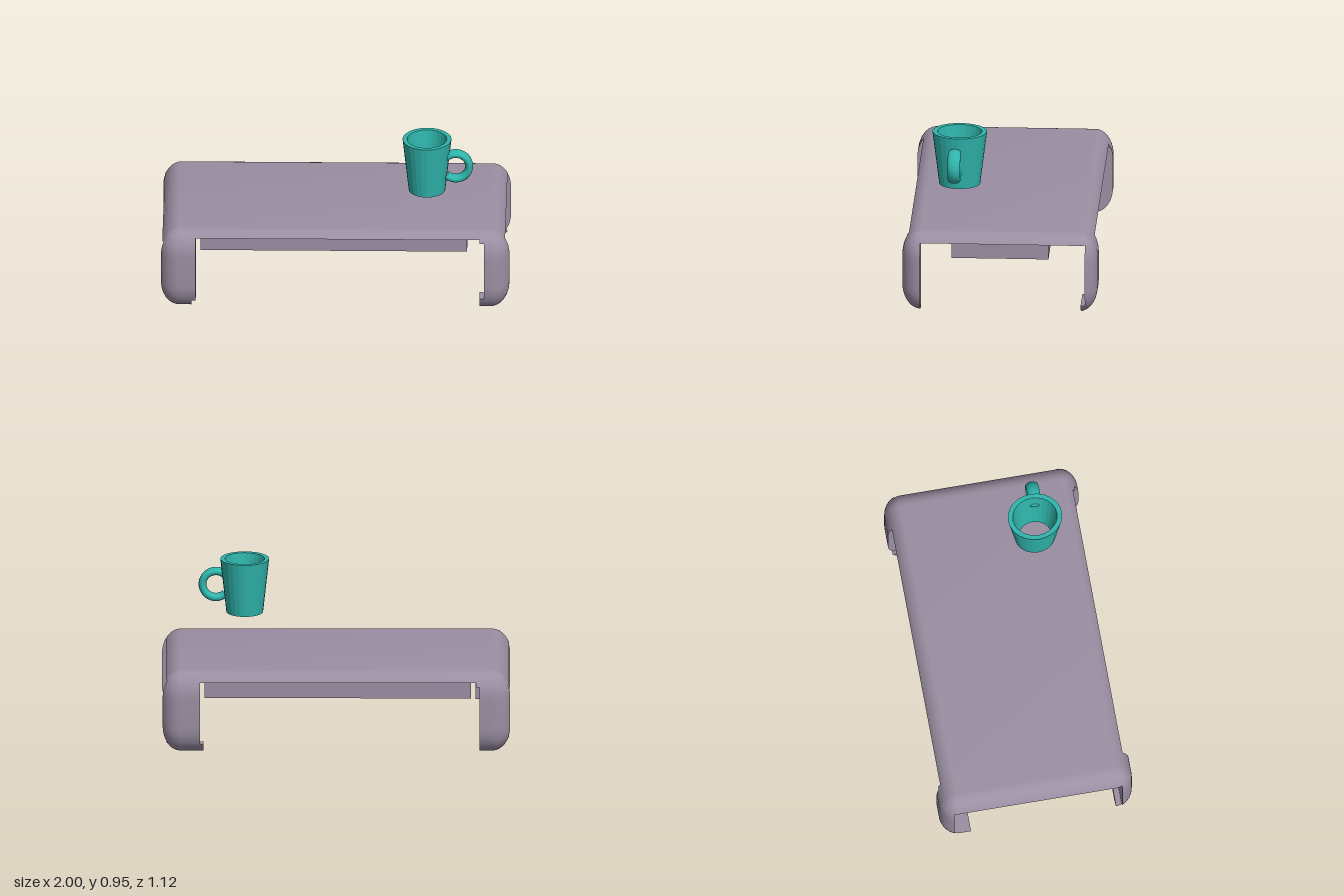
import * as THREE from 'three';
import { toCreasedNormals } from 'three/addons/utils/BufferGeometryUtils.js';

// Overall rounded block: core half sizes, corner radii, height
const CX = 0.89, CZ = 0.455, RX = 0.11, RZ = 0.105, RY = 0.15, H = 0.475, N = 10;
const { clamp } = THREE.MathUtils;

// The part of the rounded block that lies inside a given box, lofted from level sections
function roundedPiece(x0, x1, y0, y1, z0, z1) {
  const ys = [], verts = [];
  for (let i = 0; i <= N; i++) ys.push(RY * (1 - Math.cos((i / N) * Math.PI / 2)));
  for (let i = N; i >= 0; i--) ys.push(H - ys[i]);
  ys[0] = 0;

  const rings = ys.map((raw) => {
    const y = clamp(raw, y0, y1);
    const t = Math.max(RY - y, y - (H - RY), 0) / RY;
    const k = Math.sqrt(Math.max(0, 1 - t * t));
    const right = [], left = [];
    for (let i = -N; i <= N + 1; i++) {
      const a = (i <= 0 ? i : i - 1) / N * Math.PI / 2;
      const side = i <= 0 ? -1 : 1;
      const z = clamp(side * CZ + RZ * k * Math.sin(a), z0, z1);
      const s = k > 0.001 ? Math.max(0, Math.abs(z) - CZ) / (RZ * k) : 0;
      const x = CX + RX * k * Math.sqrt(Math.max(0, 1 - s * s));
      right.push(new THREE.Vector3(clamp(x, x0, x1), y, z));
      left.push(new THREE.Vector3(clamp(-x, x0, x1), y, z));
    }
    return { right, left, loop: [...right, ...left.slice().reverse()] };
  });

  const u = new THREE.Vector3(), v = new THREE.Vector3();
  const tri = (a, b, c) => {
    if (u.subVectors(b, a).cross(v.subVectors(c, a)).length() < 1e-9) return;
    for (const p of [a, b, c]) verts.push(p.x, p.y, p.z);
  };
  // Sides
  for (let j = 0; j < rings.length - 1; j++) {
    const p = rings[j].loop, q = rings[j + 1].loop;
    for (let i = 0; i < p.length; i++) {
      const n = (i + 1) % p.length;
      tri(p[i], q[i], p[n]);
      tri(q[i], q[n], p[n]);
    }
  }
  // Top and bottom caps
  const top = rings[rings.length - 1], low = rings[0];
  for (let i = 0; i < top.right.length - 1; i++) {
    tri(top.left[i], top.left[i + 1], top.right[i]);
    tri(top.right[i], top.left[i + 1], top.right[i + 1]);
    tri(low.left[i], low.right[i], low.left[i + 1]);
    tri(low.right[i], low.right[i + 1], low.left[i + 1]);
  }
  const g = new THREE.BufferGeometry();
  g.setAttribute('position', new THREE.Float32BufferAttribute(verts, 3));
  return toCreasedNormals(g, 0.5);
}

export function createModel() {
  const model = new THREE.Group();
  const wood = new THREE.MeshStandardMaterial({ color: 0x9b8fa3 });
  const teal = new THREE.MeshStandardMaterial({ color: 0x2fb5ac, flatShading: true });
  const smoothTeal = new THREE.MeshStandardMaterial({ color: 0x2fb5ac });
  const add = (parent, name, geometry, material) => {
    const mesh = new THREE.Mesh(geometry, material);
    mesh.name = name;
    parent.add(mesh);
    return mesh;
  };

  // Table: name, x0, x1, y0, y1, z0, z1
  const table = new THREE.Group();
  table.name = 'table';
  model.add(table);
  const pieces = [
    // Top with its stepped underside
    ['tableTop', -1, 1, 0.437, H, -0.56, 0.56],
    ['topUnderlay', -1, 1, 0.42, 0.437, -0.56, 0.335],
    ['centreUnderlay', -0.82, 0.755, 0.395, 0.42, -0.27, 0.335],
    ['rightEdgeStrip', -1, -0.8, 0.395, 0.437, -0.56, 0.56],
    ['leftEdgeStrip', 0.83, 1, 0.42, 0.437, 0.335, 0.56],
    // Plate legs at the corners
    ['frontRightLeg', -1, -0.795, 0.05, 0.437, 0.49, 0.56],
    ['frontLeftLeg', 0.855, 1, 0, 0.437, 0.455, 0.56],
    ['backRightLeg', -1, -0.82, 0.085, 0.42, -0.56, -0.485],
    ['backLeftLeg', 0.78, 1, 0.055, 0.42, -0.56, -0.49],
    // Feet
    ['frontRightFoot', -1, -0.82, 0, 0.05, 0.456, 0.56],
    ['frontLeftFoot', 0.83, 0.855, 0, 0.08, 0.455, 0.56],
    ['backRightFoot', -1, -0.82, 0, 0.085, -0.56, -0.39],
    ['backLeftFoot', 0.76, 1, 0, 0.055, -0.56, -0.465],
  ];
  for (const [name, ...box] of pieces) add(table, name, roundedPiece(...box), wood);

  // Drawer block hanging below the top
  add(table, 'drawerBlock', new THREE.BoxGeometry(1.525, 0.15, 0.555), wood)
    .position.set(-0.0075, 0.333, 0.0075);

  // Mug: open tapered wall, slightly oval
  const mug = new THREE.Group();
  mug.name = 'mug';
  mug.position.set(0.525, 0.632, 0.25);
  model.add(mug);
  const wall = [[0.083, 0], [0.105, 0], [0.14, 0.315], [0.114, 0.315], [0.083, 0]]
    .map(([r, y]) => new THREE.Vector2(r, y));
  add(mug, 'mugWall', new THREE.LatheGeometry(wall, 24), teal).scale.z = 1.12;

  // Handle ring, open where it meets the wall
  const handle = add(mug, 'mugHandle',
    new THREE.TorusGeometry(0.077, 0.0225, 14, 32, 4.8).rotateZ(-2.4), smoothTeal);
  handle.position.set(0.165, 0.158, 0.022);
  handle.scale.z = 1.65;

  return model;
}
